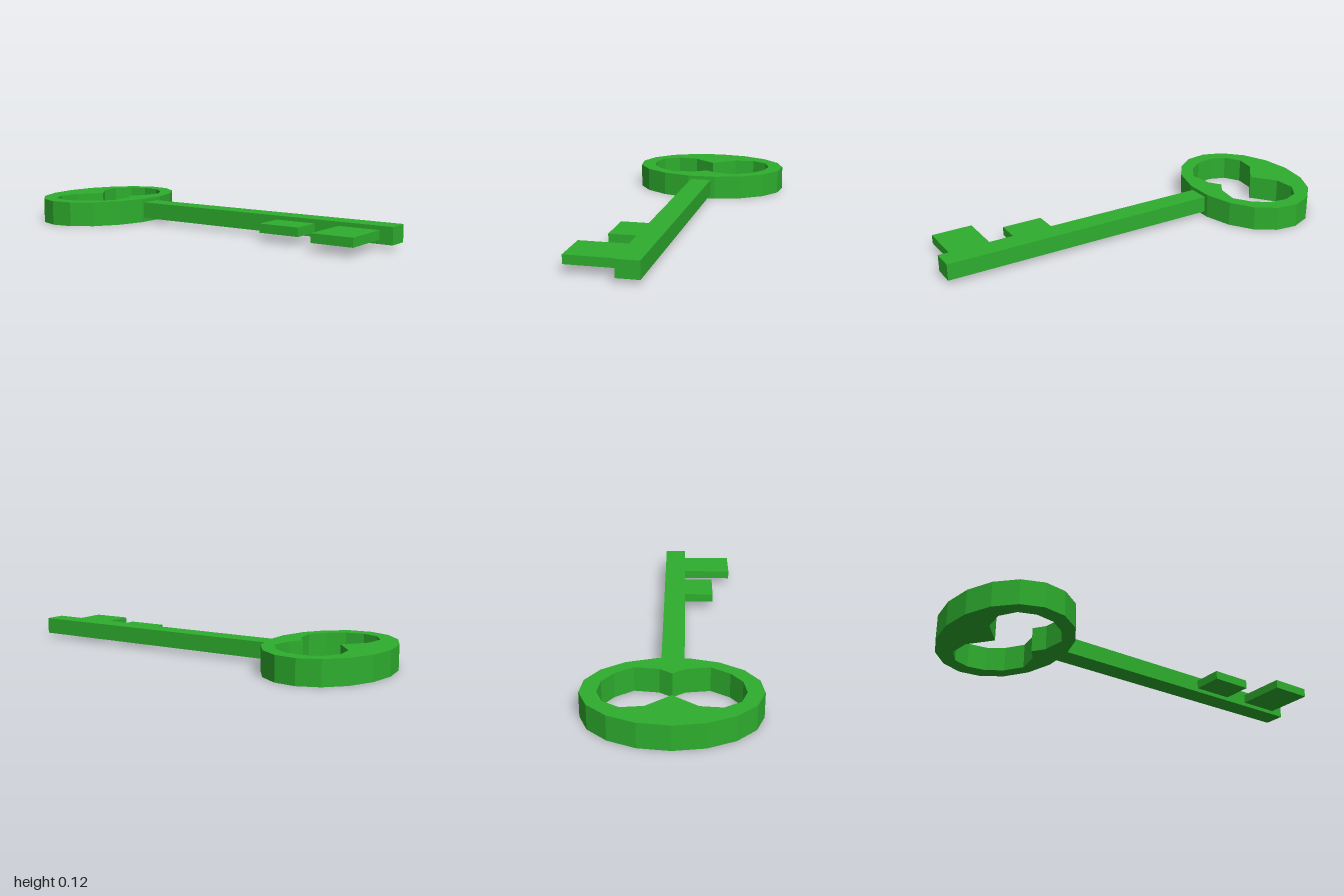
import * as THREE from 'three';

export function createModel() {
  const key = new THREE.Group();
  key.name = 'key';
  const material = new THREE.MeshStandardMaterial({ color: 0x2eae2e, flatShading: true });

  const add = (name, geometry, x, y, z) => {
    const mesh = new THREE.Mesh(geometry, material);
    mesh.name = name;
    mesh.position.set(x, y, z);
    key.add(mesh);
    return mesh;
  };

  // Bow: 17-sided oval ring
  const sides = 17;
  const outline = [];
  for (let i = 0; i < sides; i++) {
    const a = Math.PI + (i / sides) * Math.PI * 2;
    outline.push(new THREE.Vector2(-0.705 + 0.295 * Math.cos(a), 0.405 * Math.sin(a)));
  }
  const bowShape = new THREE.Shape(outline);

  // Two-lobed hole: one half, mirrored across the shaft axis
  const half = [
    [-0.754, 0], [-0.845, 0.115], [-0.856, 0.219], [-0.807, 0.297], [-0.727, 0.326],
    [-0.636, 0.313], [-0.561, 0.26], [-0.503, 0.174], [-0.519, 0.059], [-0.561, 0],
  ];
  const mirrored = half.slice(1, -1).reverse().map(([x, z]) => [x, -z]);
  bowShape.holes.push(new THREE.Path([...half, ...mirrored].map(([x, z]) => new THREE.Vector2(x, z))));

  const bowHeight = 0.122;
  const bow = new THREE.ExtrudeGeometry(bowShape, { depth: bowHeight, bevelEnabled: false });
  bow.rotateX(Math.PI / 2);
  add('bow', bow, 0, bowHeight, 0);

  // Shaft, very slightly skewed towards the teeth
  const shaft = add('shaft', new THREE.BoxGeometry(1.42, 0.082, 0.108), 0.29, 0.062, 0.005);
  shaft.rotation.y = -0.004;

  // Teeth: [name, centre x, width, outer z]
  for (const [name, x, width, reach] of [
    ['shortTooth', 0.506, 0.204, 0.21],
    ['longTooth', 0.833, 0.204, 0.31],
  ]) {
    add(name, new THREE.BoxGeometry(width, 0.043, reach), x, 0.062, reach / 2);
  }

  return key;
}
